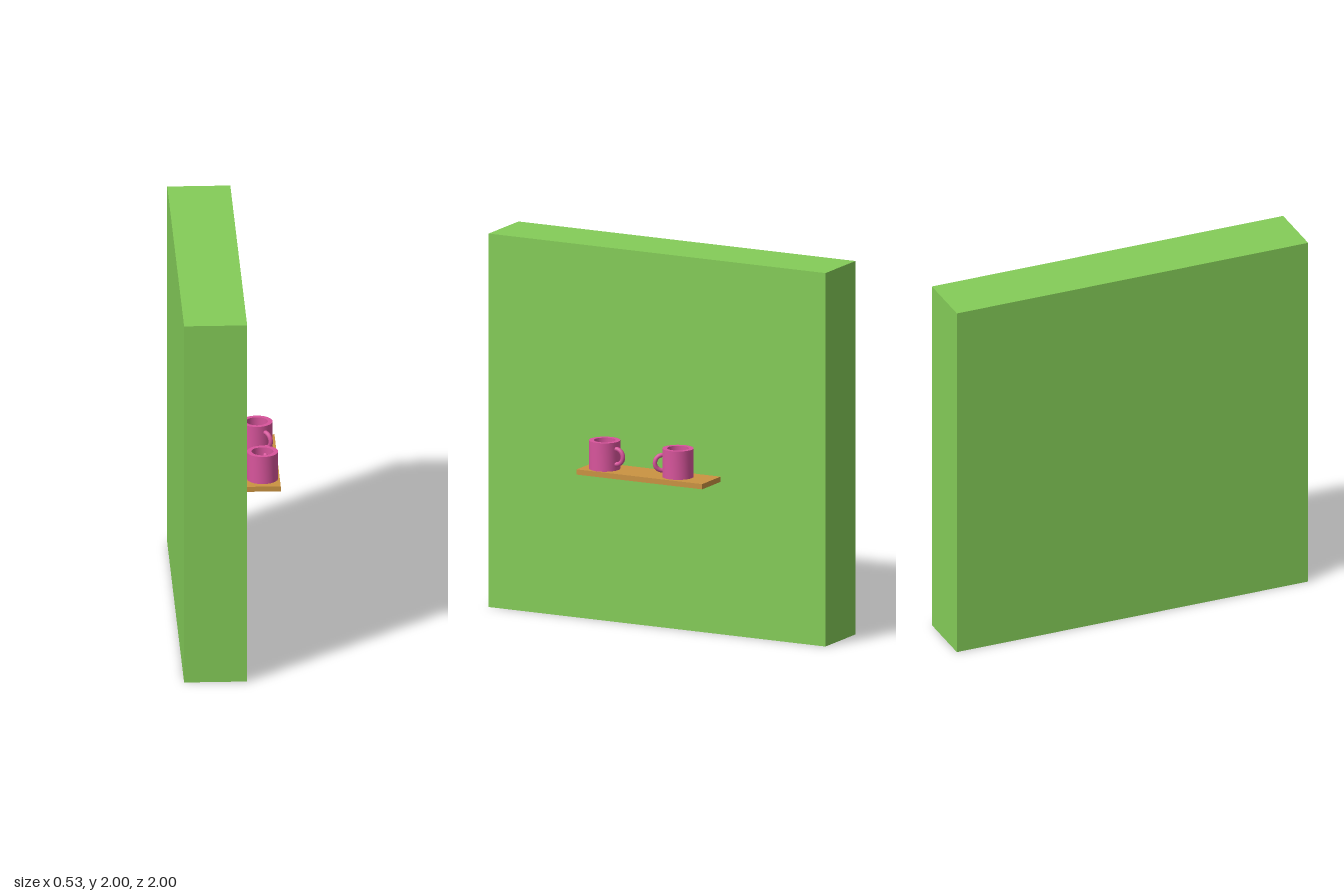
import * as THREE from 'three';
import { toCreasedNormals } from 'three/addons/utils/BufferGeometryUtils.js';

const material = (color) => new THREE.MeshStandardMaterial({ color });

function addMesh(parent, name, geometry, mat, x, y, z) {
  const mesh = new THREE.Mesh(geometry, mat);
  mesh.name = name;
  mesh.position.set(x, y, z);
  parent.add(mesh);
  return mesh;
}

export function createModel() {
  const model = new THREE.Group();
  model.name = 'wallShelfWithMugs';
  const green = material(0x84cc58);
  const wood = material(0xca9342);
  const pink = material(0xd8559c);

  // Wall slab and the board fixed to its +x side
  addMesh(model, 'wall', new THREE.BoxGeometry(0.33, 2, 2), green, -0.103, 1, 0);
  addMesh(model, 'shelf', new THREE.BoxGeometry(0.205, 0.028, 0.745), wood, 0.163, 0.83, -0.005);

  // Hollow mug body: outer wall, rim, inner wall and floor
  const profile = [[0, 0], [0.082, 0], [0.082, 0.152], [0.057, 0.152], [0.057, 0.018], [0, 0.018]]
    .map(([r, y]) => new THREE.Vector2(r, y));
  const bodyGeometry = toCreasedNormals(new THREE.LatheGeometry(profile, 32), 0.6);
  // Ring handle, partly sunk through the mug wall
  const handleGeometry = new THREE.TorusGeometry(0.041, 0.012, 12, 40);

  const mugs = [
    { name: 'frontMug', x: 0.175, z: 0.25, turn: 1.54 },
    { name: 'backMug', x: 0.165, z: -0.18, turn: -0.835 },
  ];
  for (const { name, x, z, turn } of mugs) {
    const mug = new THREE.Group();
    mug.name = name;
    mug.position.set(x, 0.844, z);
    mug.rotation.y = turn;
    addMesh(mug, 'mugBody', bodyGeometry, pink, 0, 0, 0);
    addMesh(mug, 'mugHandle', handleGeometry, pink, 0.079, 0.075, 0.017);
    model.add(mug);
  }
  return model;
}
